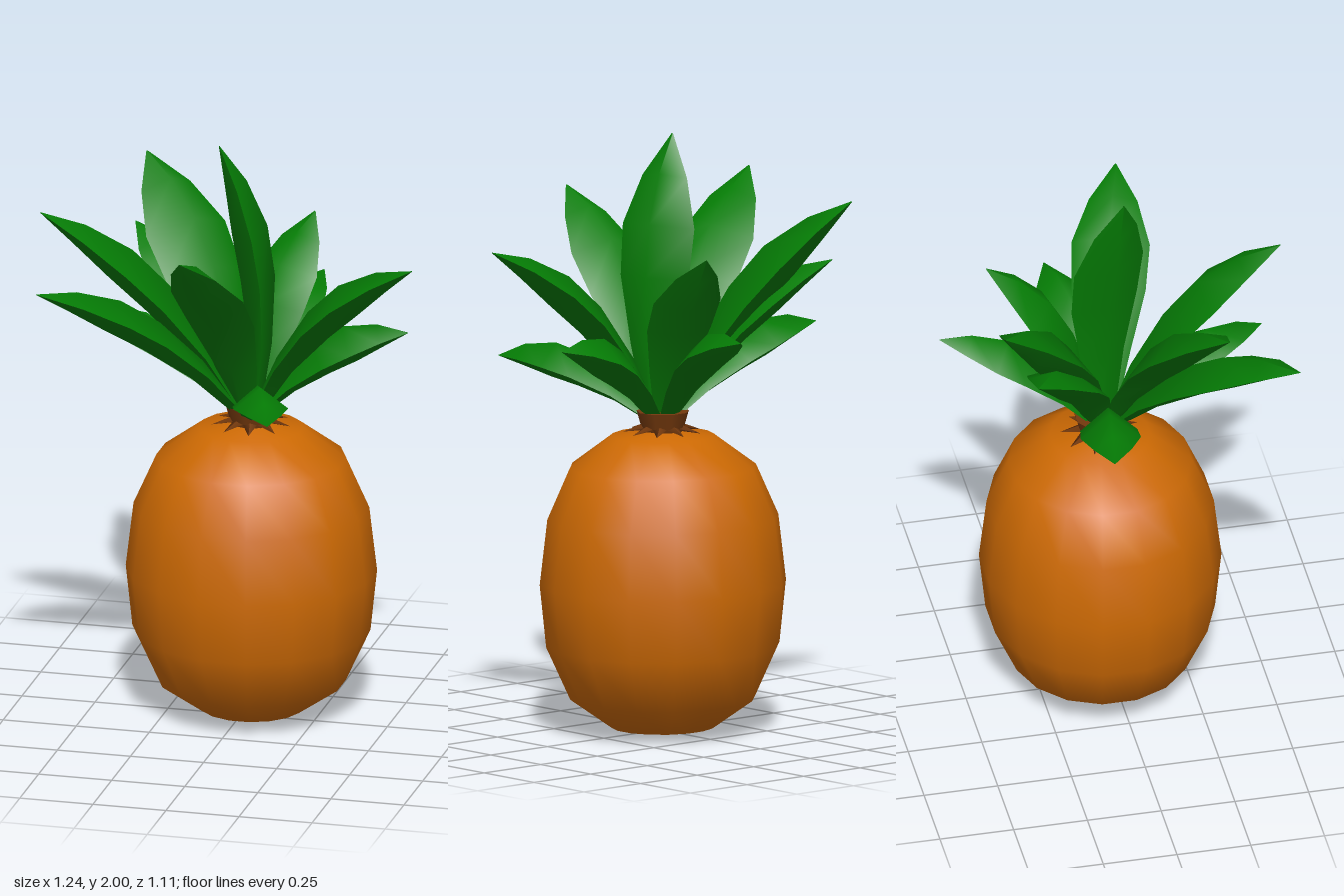
import * as THREE from 'three';

const material = (name, color, side = THREE.FrontSide) => {
  const m = new THREE.MeshStandardMaterial({ color, side });
  m.name = name;
  return m;
};

// Leaf: a blade with a raised ridge and a keel, swept along an arching curve
const STATIONS = [[0, 0.25], [0.25, 0.62], [0.48, 0.95], [0.66, 1], [0.84, 0.62], [1, 0.02]];

function leafGeometry(base, tip, width, arch, ridge, keel) {
  const a = new THREE.Vector3(...base), b = new THREE.Vector3(...tip);
  const chord = b.clone().sub(a).normalize();
  const side = new THREE.Vector3(0, 1, 0).cross(chord).normalize();
  const control = a.clone().lerp(b, 0.55).addScaledVector(chord.clone().cross(side), arch);
  const curve = new THREE.QuadraticBezierCurve3(a, control, b);
  const positions = [], index = [];

  // Upper face runs across in one direction, underside in the other
  for (const [dir, rise] of [[1, ridge], [-1, -keel]]) {
    const start = positions.length / 3;
    STATIONS.forEach(([t, w], i) => {
      const p = curve.getPoint(t);
      const normal = curve.getTangent(t).cross(side).normalize();
      const half = w * width / 2;
      for (let j = -1; j <= 1; j++) {
        const v = p.clone().addScaledVector(side, j * dir * half)
          .addScaledVector(normal, j === 0 ? rise * half : 0);
        positions.push(v.x, v.y, v.z);
        if (i < STATIONS.length - 1 && j < 1) {
          const k = start + i * 3 + j + 1;
          index.push(k, k + 3, k + 1, k + 1, k + 3, k + 4);
        }
      }
    });
  }
  const g = new THREE.BufferGeometry();
  g.setAttribute('position', new THREE.Float32BufferAttribute(positions, 3));
  g.setIndex(index);
  g.computeVertexNormals();
  return g;
}

export function createModel() {
  const model = new THREE.Group();
  const orange = material('orange skin', 0xcc6903);
  const green = material('leaf green', 0x057c05, THREE.DoubleSide);
  const brown = material('stem brown', 0x74390d, THREE.DoubleSide);
  const cx = 0.025, cz = -0.04;

  const add = (name, geometry, mat, parent = model) => {
    const mesh = new THREE.Mesh(geometry, mat);
    mesh.name = name;
    parent.add(mesh);
    return mesh;
  };

  // Fruit body
  const profile = [[0, 0.005], [0.175, 0.025], [0.314, 0.122], [0.396, 0.3], [0.418, 0.51],
    [0.392, 0.73], [0.316, 0.9], [0.173, 1.005], [0, 1.03]];
  const skin = new THREE.LatheGeometry(profile.map(([x, y]) => new THREE.Vector2(x, y)), 16);
  skin.rotateY(Math.PI / 16);
  const body = add('fruitBody', skin, orange);
  body.position.set(cx, 0, cz);
  body.scale.z = 0.96;

  // Stem and the ring of small pointed bracts around it
  const stem = add('stem', new THREE.CylinderGeometry(0.088, 0.065, 0.08, 9), brown);
  stem.position.set(cx, 1.045, cz);
  const bracts = new THREE.Group();
  bracts.name = 'bractRing';
  bracts.position.set(cx, 1.03, cz);
  const spike = new THREE.ConeGeometry(0.036, 0.11, 4);
  spike.scale(0.45, 1, 1);
  spike.rotateZ(-Math.PI / 2 - 0.22);
  spike.translate(0.08, -0.002, 0);
  for (let i = 0; i < 9; i++) add('bract', spike, brown, bracts).rotation.y = i / 9 * Math.PI * 2;
  model.add(bracts);

  // Crown leaves: tip, width, arch; the low ones are folded more steeply
  const crown = new THREE.Group();
  crown.name = 'crown';
  const leaves = [
    [[-0.62, 1.80, 0.26], 0.27, 0.14],
    [[-0.57, 1.60, 0.51], 0.25, 0.14],
    [[-0.58, 1.33, -0.12], 0.2, 0.11],
    [[-0.44, 1.79, -0.46], 0.31, 0.12],
    [[-0.45, 1.58, -0.35], 0.26, 0.13],
    [[-0.07, 1.76, 0.55], 0.26, 0.15],
    [[0.23, 1.22, 0.55], 0.18, 0.11],
    [[0.62, 1.66, 0.14], 0.26, 0.15],
    [[0.54, 1.35, -0.12], 0.2, 0.11],
    [[0.14, 1.39, -0.56], 0.19, 0.11],
    [[0.15, 1.65, -0.40], 0.24, 0.13],
    [[-0.07, 2.0, 0.02], 0.27, 0.13],
  ];
  for (const [tip, width, arch] of leaves) {
    const r = Math.hypot(tip[0], tip[2]);
    const base = r < 0.1 ? [0.04, 1.04, -0.02]
      : [0.02 + 0.015 * tip[0] / r, 1.04, -0.03 + 0.015 * tip[2] / r];
    const [ridge, keel] = tip[1] < 1.5 ? [0.8, 0.5] : [0.5, 0.4];
    add('crownLeaf', leafGeometry(base, tip, width, arch, ridge, keel), green, crown);
  }
  model.add(crown);
  return model;
}
